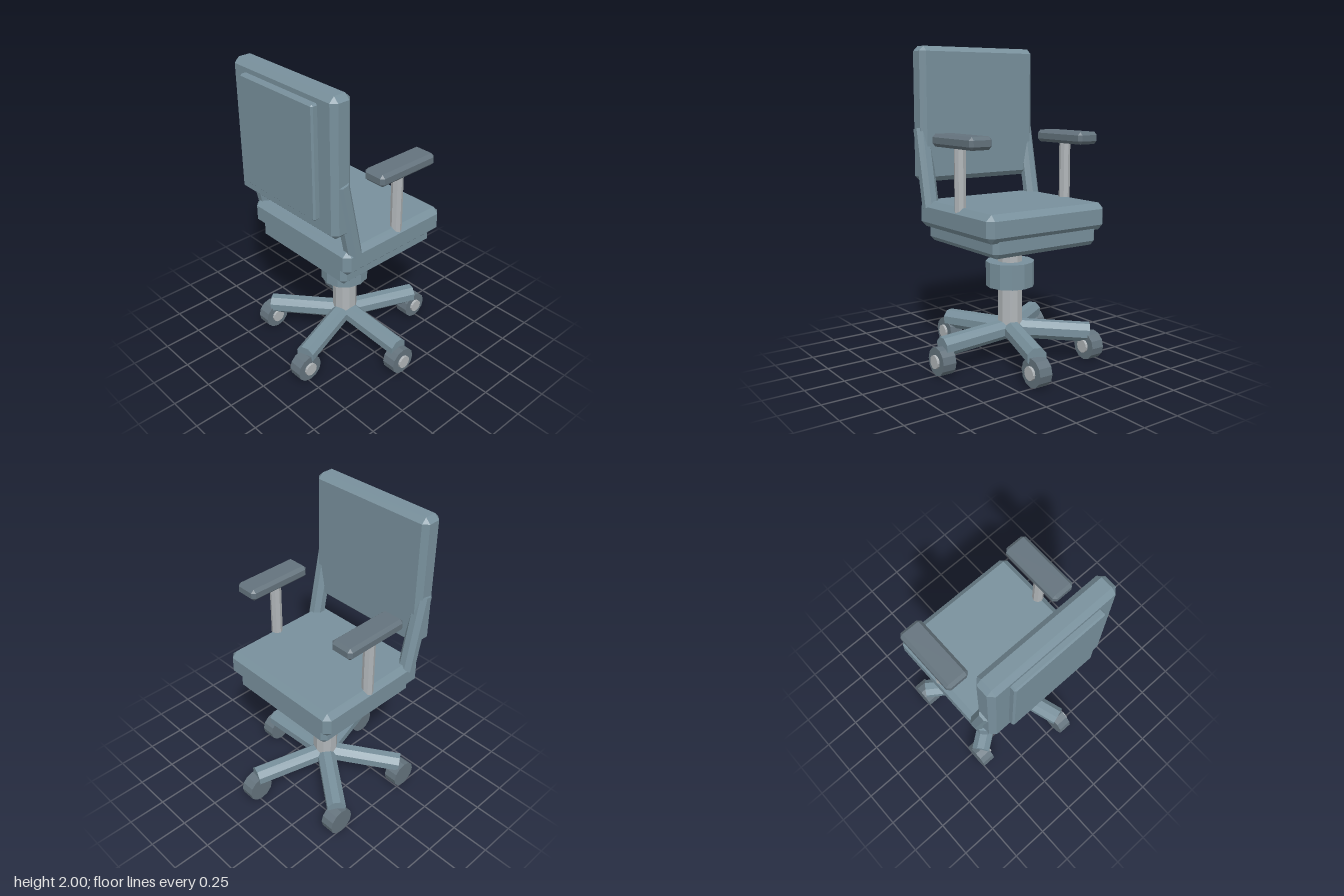
import * as THREE from 'three';
import { ConvexGeometry } from 'three/addons/geometries/ConvexGeometry.js';

const material = (name, color) => {
  const m = new THREE.MeshStandardMaterial({ color });
  m.name = name;
  return m;
};

export function createModel() {
  const blue = material('blueGrey', 0x78909c);
  const dark = material('darkGrey', 0x64737d);
  const metal = material('lightMetal', 0xb0b5b8);
  const chair = new THREE.Group();
  chair.name = 'officeChair';
  const CX = -0.048; // the chair's middle line

  const add = (name, geometry, mat, parent = chair) => {
    const mesh = new THREE.Mesh(geometry, mat);
    mesh.name = name;
    parent.add(mesh);
    return mesh;
  };

  // Box between two corners, with every edge cut by c
  const chamferBox = (x0, x1, y0, y1, z0, z1, c) => {
    const points = [];
    const hx = (x1 - x0) / 2, hy = (y1 - y0) / 2, hz = (z1 - z0) / 2;
    for (const sx of [-1, 1]) for (const sy of [-1, 1]) for (const sz of [-1, 1]) {
      points.push(
        new THREE.Vector3(sx * hx, sy * (hy - c), sz * (hz - c)),
        new THREE.Vector3(sx * (hx - c), sy * hy, sz * (hz - c)),
        new THREE.Vector3(sx * (hx - c), sy * (hy - c), sz * hz));
    }
    return new ConvexGeometry(points).translate((x0 + x1) / 2, (y0 + y1) / 2, (z0 + z1) / 2);
  };

  // Faceted upright prism centred on the origin, turned about its axis
  const prism = (r, h, sides, turn = 0) => {
    const g = new THREE.CylinderGeometry(r, r, h, sides).rotateY(turn).toNonIndexed();
    g.computeVertexNormals();
    return g;
  };

  // Seat and backrest
  add('seatCushion', chamferBox(-0.488, 0.396, 0.865, 1.035, -0.418, 0.386, 0.036), blue);
  add('seatPan', chamferBox(-0.437, 0.341, 0.77, 0.91, -0.392, 0.365, 0.03), blue);
  add('backrest', chamferBox(-0.484, 0.389, 1.15, 2.0, 0.328, 0.468, 0.032), blue);
  add('backPanel', chamferBox(-0.36, 0.262, 1.247, 1.94, 0.44, 0.506, 0.01), blue);

  // Backrest supports and armrests, one per side
  for (const side of [-1, 1]) {
    const x = CX + side * 0.404;
    const support = add('backSupport', prism(0.053, 0.505, 8, Math.PI / 8), blue);
    support.position.set(x, 1.238, 0.35);
    support.rotation.x = Math.atan2(0.1, 0.495);
    const post = add('armPost', prism(0.036, 0.42, 8), metal);
    post.position.set(x, 1.2, -0.05);
    add('armPad', chamferBox(x - 0.078, x + 0.078, 1.39, 1.468, -0.288, 0.153, 0.02), dark);
  }

  // Gas column and its collar
  add('column', prism(0.081, 0.6, 10), metal).position.set(CX, 0.5, 0);
  add('columnCollar', prism(0.156, 0.16, 12), blue).position.set(CX, 0.57, 0);

  // Five-legged base with casters
  const reach = 0.512, drop = 0.03;
  for (let i = 0; i < 5; i++) {
    const a = (i / 5) * Math.PI * 2;
    const leg = new THREE.Group();
    leg.name = 'baseLeg';
    leg.position.x = CX;
    leg.rotation.y = -a;
    chair.add(leg);
    const bar = prism(0.064, Math.hypot(reach, drop), 8, Math.PI / 8)
      .rotateZ(-Math.PI / 2 - Math.atan2(drop, reach));
    add('legBar', bar, blue, leg).position.set(reach / 2, 0.19, 0);

    const caster = new THREE.Group();
    caster.name = 'caster';
    caster.position.set(CX + reach * Math.cos(a), 0.09, reach * Math.sin(a));
    chair.add(caster);
    add('wheel', prism(0.09, 0.09, 12).rotateZ(Math.PI / 2), dark, caster);
    add('wheelHub', prism(0.043, 0.03, 12).rotateZ(Math.PI / 2), metal, caster).position.x = 0.046;
  }

  return chair;
}
